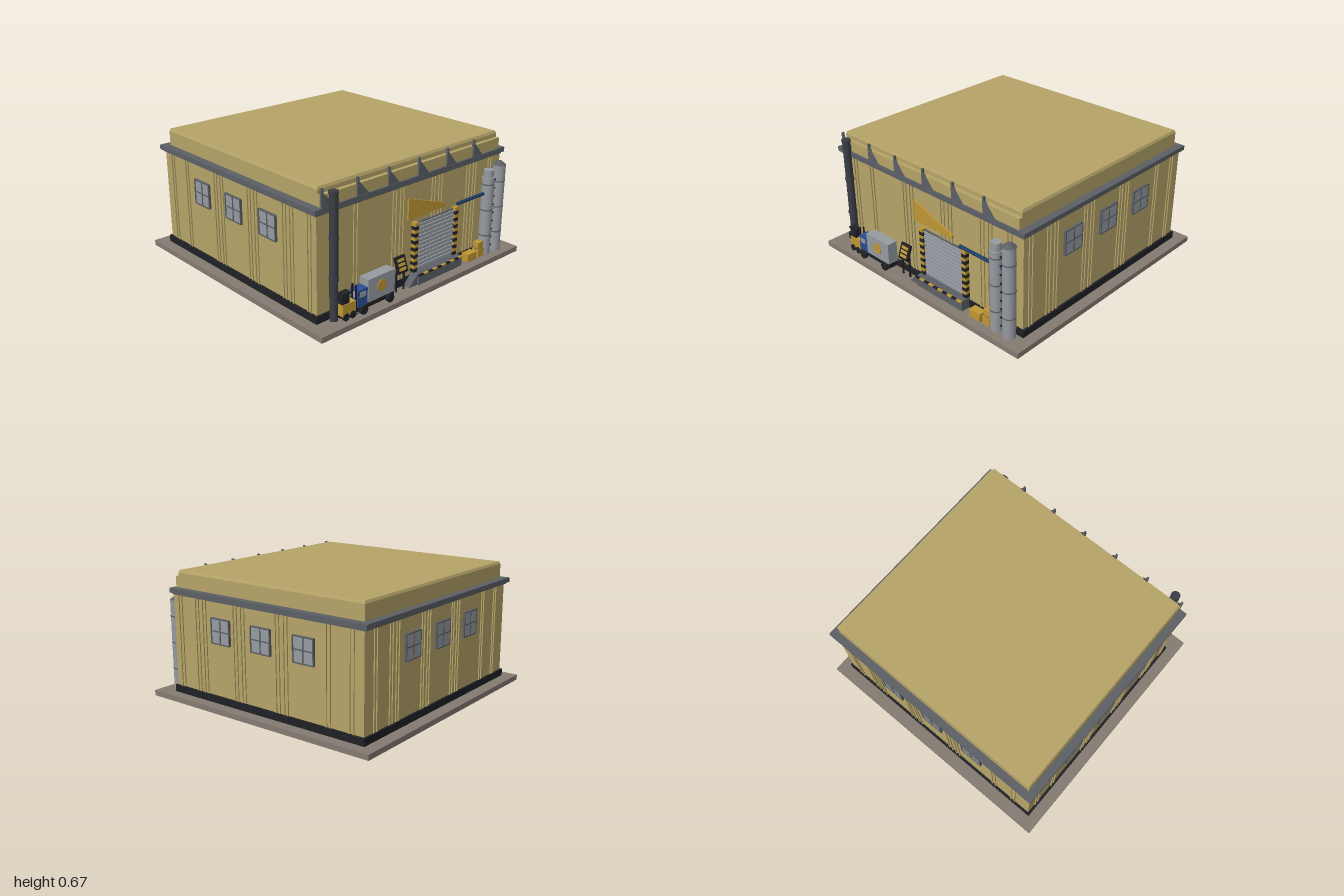
import * as THREE from 'three';

const mat = (name, color) => Object.assign(new THREE.MeshStandardMaterial({ color }), { name });

export function createModel() {
  const tan = mat('wallTan', 0xb5a468), slate = mat('slateMetal', 0x5c6066), stone = mat('slabStone', 0x847b72),
    black = mat('black', 0x1f2126), steel = mat('paleSteel', 0x969ba1), blue = mat('cabBlue', 0x2a4d96),
    yellow = mat('yellow', 0xbf9634), navy = mat('pipeNavy', 0x1f3d68), dark = mat('chimneyGrey', 0x3a3e45);

  const root = new THREE.Group();
  root.name = 'warehouse';
  const group = (name) => {
    const g = new THREE.Group();
    g.name = name;
    root.add(g);
    return g;
  };
  const add = (parent, name, geo, m, x = 0, y = 0, z = 0) => {
    const o = new THREE.Mesh(geo, m);
    o.name = name;
    o.position.set(x, y, z);
    parent.add(o);
    return o;
  };
  // Box given by its limits on each axis
  const box = (parent, name, m, x0, x1, y0, y1, z0, z1) =>
    add(parent, name, new THREE.BoxGeometry(x1 - x0, y1 - y0, z1 - z0), m, (x0 + x1) / 2, (y0 + y1) / 2, (z0 + z1) / 2);
  // Upright cylinder from y0 to y1
  const post = (parent, name, m, x, z, r, y0, y1, rTop = r) =>
    add(parent, name, new THREE.CylinderGeometry(rTop, r, y1 - y0, 20), m, x, (y0 + y1) / 2, z);
  const wheel = (parent, x, y, z, r, w) => {
    add(parent, 'wheel', new THREE.CylinderGeometry(r, r, w, 16), black, x, y, z).rotation.x = Math.PI / 2;
  };
  const plate = (parent, name, m, pts, depth, z) => {
    const shape = new THREE.Shape(pts.map(([x, y]) => new THREE.Vector2(x, y)));
    return add(parent, name, new THREE.ExtrudeGeometry(shape, { depth, bevelEnabled: false }), m, 0, 0, z);
  };

  // Ground slab with a slate underside
  const base = group('foundation');
  box(base, 'slab', [stone, stone, stone, slate, stone, stone], -0.7, 0.7, 0.002, 0.03, -0.671, 0.706);
  box(base, 'underside', tan, -0.61, 0.61, 0, 0.002, -0.59, 0.59);
  box(base, 'plinth', black, -0.643, 0.643, 0.03, 0.067, -0.607, 0.607);

  // Walls, gutter and roof
  const hall = group('hall');
  box(hall, 'walls', tan, -0.632, 0.632, 0.067, 0.556, -0.597, 0.597);
  box(hall, 'gutter', slate, -0.652, 0.648, 0.555, 0.579, -0.62, 0.612);
  box(hall, 'gutterLip', slate, -0.64, 0.636, 0.545, 0.555, -0.605, 0.603);
  box(hall, 'roof', tan, -0.612, 0.61, 0.579, 0.655, -0.582, 0.582);
  const cap = add(hall, 'roofCap', new THREE.BoxGeometry(1.222, 0.013, 1.164), tan, -0.001, 0.6615, 0);
  const cp = cap.geometry.attributes.position;
  for (let i = 0; i < cp.count; i++) {
    if (cp.getY(i) > 0) cp.setXYZ(i, cp.getX(i) * 0.99, cp.getY(i), cp.getZ(i) * 0.99);
  }
  cap.geometry.computeVertexNormals();
  box(hall, 'frontLedge', tan, -0.612, 0.61, 0.579, 0.635, 0.582, 0.602);

  // Vertical cladding ribs, in pairs
  for (const c of [-0.53, -0.4, -0.15, -0.1, 0.12, 0.17, 0.38, 0.43, 0.55]) {
    for (const d of [-0.011, 0.011]) {
      const a = c + d;
      for (const s of [-1, 1]) {
        box(hall, 'rib', tan, a - 0.004, a + 0.004, 0.067, 0.546, s * 0.599 - 0.004, s * 0.599 + 0.004);
        box(hall, 'rib', tan, s * 0.634 - 0.004, s * 0.634 + 0.004, 0.067, 0.546, a - 0.004, a + 0.004);
      }
    }
  }

  // Triangular roof brackets
  for (const x of [-0.612, -0.402, -0.205, -0.004, 0.197, 0.397]) {
    plate(hall, 'roofBracket', slate, [[x, 0.579], [x + 0.07, 0.579], [x + 0.01, 0.648], [x + 0.01, 0.668], [x, 0.668]], 0.012, 0.598);
  }

  // Four-pane windows on the sides and back
  const windowAt = (x, z, turn) => {
    const w = group('window');
    box(w, 'glass', steel, -0.06, 0.06, -0.063, 0.063, -0.004, 0.006);
    for (const s of [-1, 1]) {
      box(w, 'frameSide', slate, s * 0.06 - 0.003, s * 0.06 + 0.003, -0.065, 0.065, -0.004, 0.01);
      box(w, 'frameRail', slate, -0.06, 0.06, s * 0.063 - 0.003, s * 0.063 + 0.003, -0.004, 0.01);
    }
    box(w, 'mullion', slate, -0.003, 0.003, -0.063, 0.063, -0.004, 0.009);
    box(w, 'transom', slate, -0.06, 0.06, -0.003, 0.003, -0.004, 0.009);
    w.position.set(x, 0.402, z);
    w.rotation.y = turn;
  };
  for (const a of [-0.262, 0, 0.264]) {
    windowAt(0.634, a, Math.PI / 2);
    windowAt(-0.634, a, -Math.PI / 2);
    windowAt(a, -0.599, Math.PI);
  }

  // Loading door with slats and striped posts
  const door = group('loadingDoor');
  box(door, 'doorBack', slate, -0.005, 0.266, 0.085, 0.337, 0.59, 0.606);
  for (let i = 0; i < 12; i++) {
    const y = 0.088 + i * 0.0207;
    box(door, 'slat', steel, -0.005, 0.266, y, y + 0.015, 0.606, 0.613);
  }
  for (const x of [-0.029, 0.265]) {
    for (let i = 0; i < 14; i++) {
      const y = 0.085 + i * 0.0186;
      box(door, 'stripedPost', i % 2 ? yellow : black, x, x + 0.025, y, y + 0.0186, 0.59, 0.622);
    }
  }
  box(door, 'dock', slate, -0.03, 0.295, 0.03, 0.085, 0.6, 0.655);
  for (let i = 0; i < 10; i++) {
    box(door, 'dockEdge', i % 2 ? yellow : black, -0.03 + i * 0.0325, 0.0025 + i * 0.0325, 0.08, 0.087, 0.652, 0.664);
  }
  plate(door, 'dockRamp', slate, [[-0.085, 0.03], [-0.03, 0.03], [-0.03, 0.085]], 0.04, 0.607);
  plate(door, 'wedgeSign', yellow, [[-0.07, 0.37], [0.197, 0.37], [0.197, 0.39], [-0.07, 0.48]], 0.009, 0.604);

  // Chimney with joint collars
  const chimney = group('chimney');
  post(chimney, 'flue', dark, -0.557, 0.625, 0.02, 0.03, 0.65);
  for (const y of [0.235, 0.43, 0.61, 0.645]) post(chimney, 'collar', dark, -0.557, 0.625, 0.0235, y - 0.006, y + 0.006);

  // Storage tanks, ladder and feed pipe
  const tanks = group('storageTanks');
  post(tanks, 'shortTank', steel, 0.502, 0.633, 0.032, 0.03, 0.455);
  post(tanks, 'shortTankNeck', steel, 0.502, 0.633, 0.026, 0.455, 0.495);
  post(tanks, 'tallTank', steel, 0.584, 0.637, 0.032, 0.03, 0.505);
  post(tanks, 'tallTankCone', slate, 0.584, 0.637, 0.033, 0.505, 0.526, 0.008);
  for (const y of [0.14, 0.28, 0.42]) {
    post(tanks, 'band', slate, 0.502, 0.633, 0.0335, y - 0.003, y + 0.003);
    post(tanks, 'band', slate, 0.584, 0.637, 0.0335, y - 0.003, y + 0.003);
  }
  for (let i = 0; i < 9; i++) box(tanks, 'rung', black, 0.53, 0.556, 0.06 + i * 0.046, 0.067 + i * 0.046, 0.637, 0.643);
  add(tanks, 'feedPipe', new THREE.CylinderGeometry(0.009, 0.009, 0.285, 12), navy, 0.408, 0.37, 0.63).rotation.z = Math.PI / 2;

  // Crates
  const crates = group('crates');
  box(crates, 'lowCrate', yellow, 0.345, 0.415, 0.03, 0.072, 0.615, 0.657);
  box(crates, 'middleCrate', yellow, 0.43, 0.477, 0.03, 0.075, 0.615, 0.655);
  box(crates, 'topCrate', yellow, 0.433, 0.475, 0.077, 0.11, 0.617, 0.65);
  box(crates, 'pallet', black, 0.433, 0.475, 0.075, 0.077, 0.62, 0.65);

  // Leaning notice board on two legs
  const board = group('noticeBoard');
  for (const x of [-0.16, -0.108]) box(board, 'leg', black, x - 0.004, x + 0.004, 0.03, 0.14, 0.626, 0.634);
  const panel = new THREE.Group();
  panel.name = 'panel';
  panel.position.set(-0.134, 0.168, 0.632);
  panel.rotation.x = -0.35;
  board.add(panel);
  box(panel, 'backing', black, -0.034, 0.034, -0.042, 0.042, -0.006, 0.006);
  for (const y of [-0.022, 0, 0.022]) box(panel, 'label', yellow, -0.022, 0.022, y - 0.007, y + 0.007, 0.005, 0.009);

  // Delivery truck, cab towards -x
  const truck = group('truck');
  box(truck, 'chassis', black, -0.455, -0.217, 0.05, 0.075, 0.625, 0.67);
  box(truck, 'cargoBox', steel, -0.39, -0.217, 0.075, 0.19, 0.617, 0.674);
  box(truck, 'cab', blue, -0.452, -0.392, 0.07, 0.155, 0.62, 0.672);
  box(truck, 'sideWindow', steel, -0.442, -0.405, 0.118, 0.143, 0.671, 0.675);
  box(truck, 'windscreen', steel, -0.455, -0.451, 0.115, 0.145, 0.626, 0.666);
  add(truck, 'roundEmblem', new THREE.CylinderGeometry(0.03, 0.03, 0.005, 24), yellow, -0.304, 0.136, 0.675).rotation.x = Math.PI / 2;
  for (const x of [-0.42, -0.25]) for (const z of [0.628, 0.676]) wheel(truck, x, 0.052, z, 0.022, 0.016);

  // Forklift, mast towards +x
  const lift = group('forklift');
  box(lift, 'body', yellow, -0.54, -0.462, 0.052, 0.112, 0.632, 0.668);
  box(lift, 'seatBack', black, -0.54, -0.498, 0.112, 0.158, 0.636, 0.664);
  box(lift, 'overheadGuard', black, -0.545, -0.49, 0.158, 0.166, 0.632, 0.668);
  for (const z of [0.636, 0.66]) {
    box(lift, 'mast', black, -0.461, -0.454, 0.035, 0.185, z, z + 0.006);
    box(lift, 'fork', slate, -0.455, -0.43, 0.035, 0.041, z, z + 0.006);
  }
  for (const x of [-0.522, -0.48]) for (const z of [0.633, 0.667]) wheel(lift, x, 0.048, z, 0.018, 0.012);

  return root;
}
